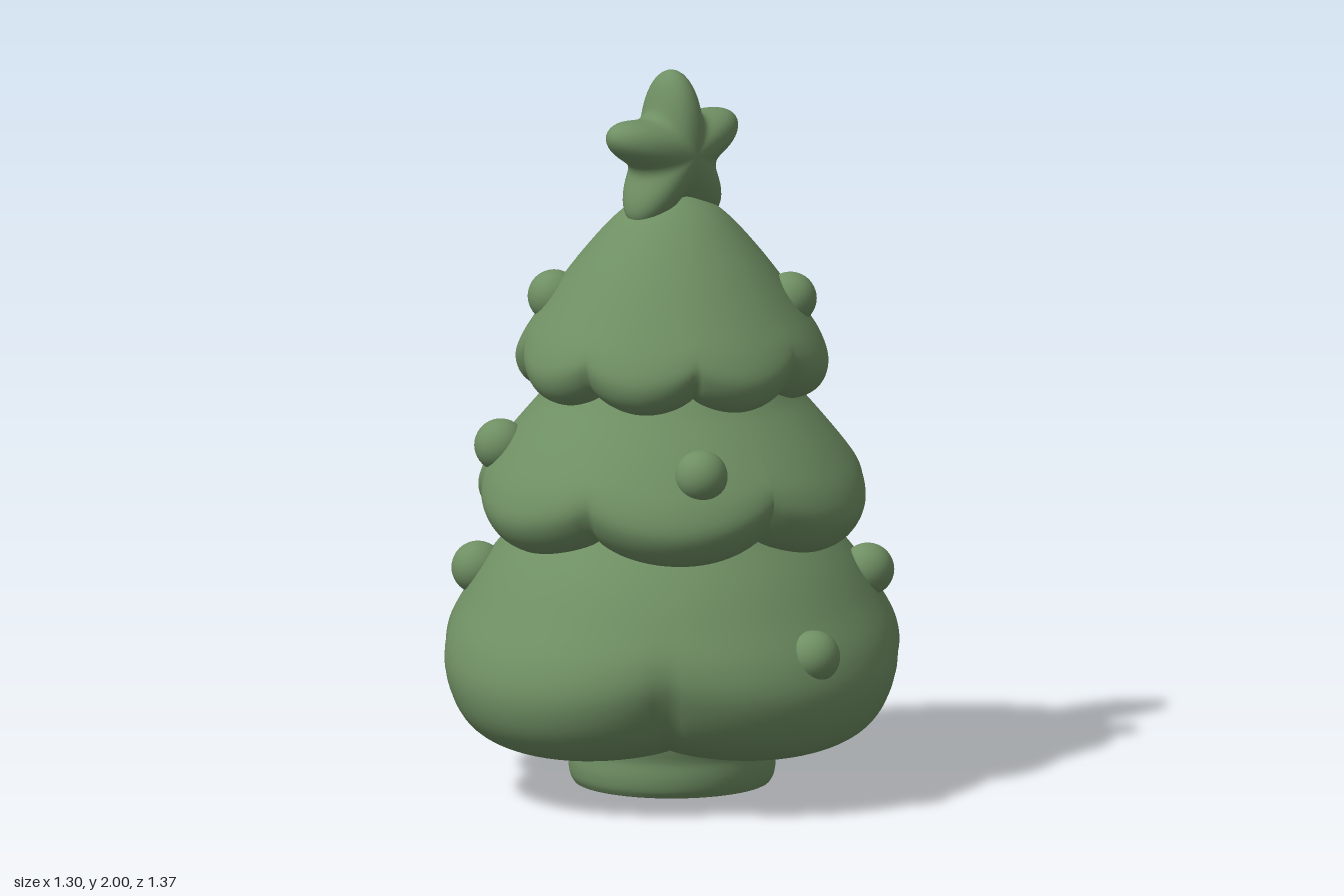
import * as THREE from 'three';

const green = new THREE.MeshStandardMaterial({ color: 0x6f8f63 });
const rad = THREE.MathUtils.degToRad;

function addMesh(parent, name, geometry) {
  const mesh = new THREE.Mesh(geometry, green);
  mesh.name = name;
  parent.add(mesh);
  return mesh;
}

// Smooth closed profile, listed from the bottom centre outwards and up
function profile(points, count) {
  return new THREE.SplineCurve(points.map(([r, y]) => new THREE.Vector2(r, y)))
    .getPoints(count)
    .map((p) => new THREE.Vector2(Math.max(p.x, 0), p.y));
}

// Lathed bough whose hem is pinched into scallops with sharp notches
function tierGeometry({ points, lobes, notch, depth, rise, fade }) {
  const geo = new THREE.LatheGeometry(profile(points, 64), lobes * 24, rad(90 - notch));
  const pos = geo.attributes.position;
  const widest = Math.max(...points.map((p) => p[0]));
  const hem = Math.min(...points.map((p) => p[1]));
  for (let i = 0; i < pos.count; i++) {
    const x = pos.getX(i), y = pos.getY(i), z = pos.getZ(i);
    const angle = Math.atan2(z, x) - rad(notch);
    const pinch = 1 - Math.pow(Math.abs(Math.sin((angle * lobes) / 2)), 0.75);
    const reach = THREE.MathUtils.smoothstep(Math.hypot(x, z) / widest, 0.1, 0.8);
    const high = 1 - THREE.MathUtils.smoothstep(y, hem + fade * 0.2, hem + fade);
    const k = pinch * reach * high;
    pos.setXYZ(i, x * (1 - depth * k), y + rise * k, z * (1 - depth * k));
  }
  geo.computeVertexNormals();
  return geo;
}

// Puffy five-pointed star: a sphere reshaped by a star outline
function starGeometry() {
  const geo = new THREE.SphereGeometry(1, 120, 48);
  geo.rotateX(Math.PI / 2); // poles face front and back
  const pos = geo.attributes.position;
  for (let i = 0; i < pos.count; i++) {
    const x = pos.getX(i), y = pos.getY(i), z = pos.getZ(i);
    const angle = Math.atan2(y, x);
    const point = 0.5 + 0.5 * Math.cos(5 * (angle - Math.PI / 2));
    const outline = 0.135 + 0.095 * Math.pow(point, 1.2);
    const out = Math.pow(Math.hypot(x, y), 0.85) * outline;
    pos.setXYZ(i, Math.cos(angle) * out, Math.sin(angle) * out, z * 0.105);
  }
  geo.computeVertexNormals();
  return geo;
}

export function createModel() {
  const tree = new THREE.Group();
  tree.name = 'tree';

  // Trunk with a rounded foot
  addMesh(tree, 'trunk', new THREE.LatheGeometry(profile([
    [0, 0], [0.13, 0], [0.25, 0.003], [0.275, 0.015], [0.285, 0.05],
    [0.283, 0.1], [0.27, 0.2], [0, 0.22],
  ], 48), 64));

  // Three tiers of boughs
  const lower = addMesh(tree, 'lowerTier', tierGeometry({
    points: [[0, 0.13], [0.25, 0.12], [0.45, 0.13], [0.59, 0.165], [0.665, 0.23], [0.695, 0.33],
      [0.67, 0.43], [0.6, 0.54], [0.53, 0.64], [0.45, 0.73], [0.33, 0.85], [0, 0.95]],
    lobes: 4, notch: -22, depth: 0.11, rise: 0.05, fade: 0.5,
  }));
  lower.scale.x = 0.95;
  addMesh(tree, 'middleTier', tierGeometry({
    points: [[0, 0.74], [0.25, 0.71], [0.4, 0.685], [0.5, 0.71], [0.55, 0.78], [0.535, 0.86],
      [0.47, 0.96], [0.37, 1.08], [0.26, 1.2], [0, 1.3]],
    lobes: 6, notch: 35, depth: 0.07, rise: 0.06, fade: 0.32,
  }));
  addMesh(tree, 'upperTier', tierGeometry({
    points: [[0, 1.14], [0.22, 1.12], [0.33, 1.095], [0.405, 1.12], [0.435, 1.18], [0.415, 1.25],
      [0.35, 1.35], [0.25, 1.485], [0.15, 1.595], [0.07, 1.645], [0, 1.66]],
    lobes: 8, notch: 13, depth: 0.06, rise: 0.045, fade: 0.25,
  }));

  // Baubles half sunk into the boughs
  const baubles = new THREE.Group();
  baubles.name = 'baubles';
  tree.add(baubles);
  const ball = new THREE.SphereGeometry(0.073, 32, 20);
  [
    [-0.31, 1.36, 0.1], [0.305, 1.36, -0.115],
    [0.25, 0.95, 0.4], [-0.42, 0.955, 0.22],
    [-0.5, 0.6, 0.19], [0.505, 0.6, -0.19],
    [0.54, 0.445, 0.29], [-0.54, 0.445, -0.295],
  ].forEach((p) => addMesh(baubles, 'bauble', ball).position.set(...p));

  // Star on top, turned to the side
  const star = addMesh(tree, 'star', starGeometry());
  star.position.set(0, 1.77, 0);
  star.rotation.y = rad(63);

  return tree;
}
